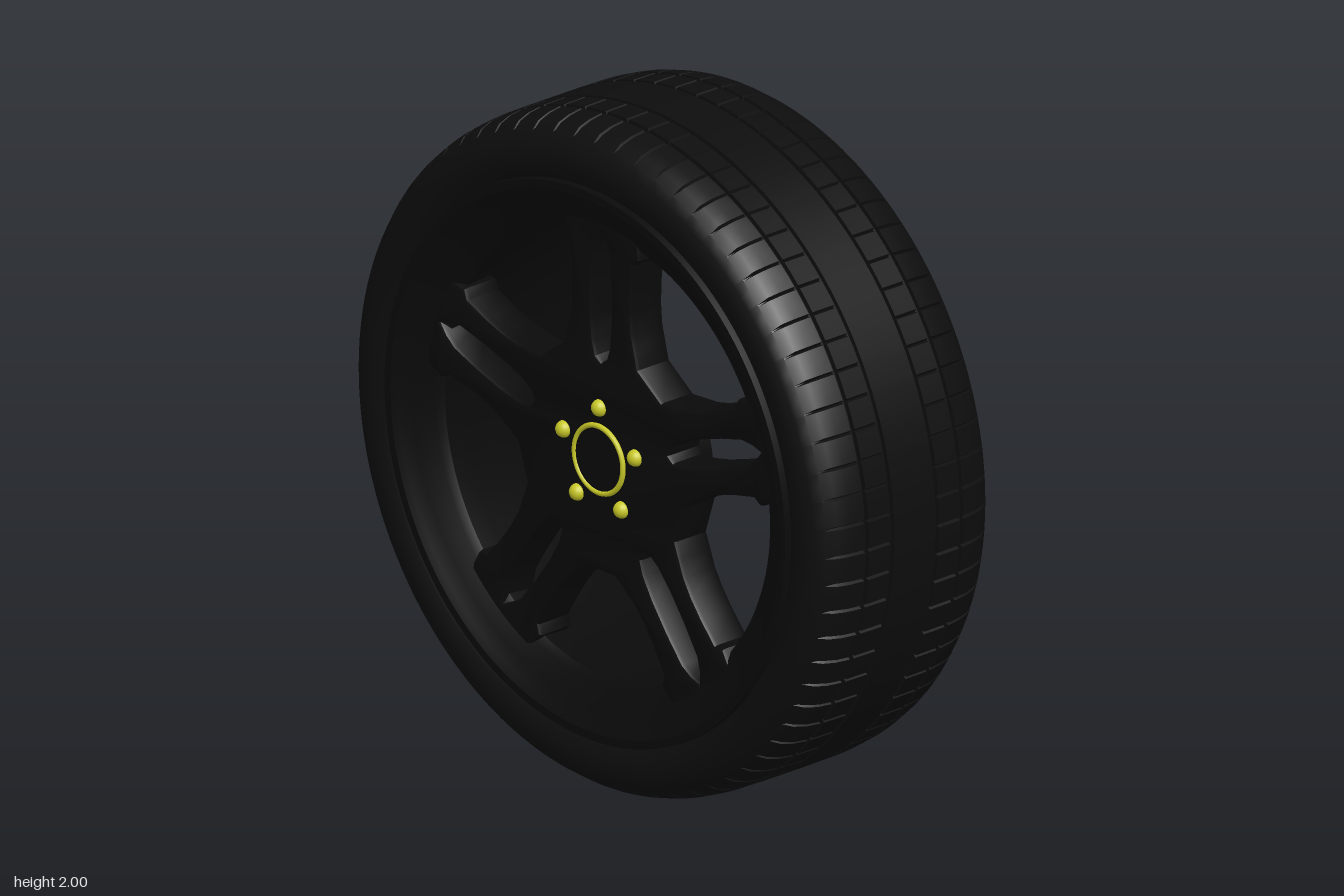
import * as THREE from 'three';
import { toCreasedNormals } from 'three/addons/utils/BufferGeometryUtils.js';

const rubber = new THREE.MeshStandardMaterial({ name: 'black rubber', color: 0x0d0d0d });
const paint = new THREE.MeshStandardMaterial({ name: 'black rim paint', color: 0x0a0a0a });
const yellow = new THREE.MeshStandardMaterial({ name: 'yellow metal', color: 0xc8c828 });

const FACE = -0.3; // x of the outer face of the spokes

function add(group, name, geometry, material) {
  const mesh = new THREE.Mesh(geometry, material);
  mesh.name = name;
  group.add(mesh);
  return mesh;
}

// Revolve a profile of [x, radius] points around the x axis
function lathe(profile, segments) {
  const pts = profile.map(([x, r]) => new THREE.Vector2(r, x));
  return new THREE.LatheGeometry(pts, segments);
}

// Tire: mirrored half profile of [offset, radius, cut by sipes]
function tireGeometry() {
  const half = [
    [0.31, 0.825, 0], [0.325, 0.845, 0], [0.335, 0.88, 0], [0.335, 0.905, 0],
    [0.325, 0.935, 0], [0.305, 0.96, 0], [0.275, 0.98, 1], [0.235, 0.992, 1],
    [0.187, 0.998, 1], [0.186, 0.985, 0], [0.174, 0.985, 0], [0.173, 0.999, 1],
    [0.092, 1, 1], [0.091, 0.987, 0], [0.079, 0.987, 0], [0.078, 1, 0],
  ];
  const profile = [
    ...half.map(([o, r, s]) => [-0.025 - o, r, s]),
    ...half.slice().reverse().map(([o, r, s]) => [-0.025 + o, r, s]),
  ];
  const sipes = 72, n = profile.length, steps = [0, 0.06, 0.12, 0.56];
  const geo = lathe(profile, sipes * 4);
  const pos = geo.attributes.position;
  // Narrow cross cuts: the second column of every four is pushed inwards
  for (let i = 0; i <= sipes * 4; i++) {
    const phi = ((Math.floor(i / 4) + steps[i % 4]) / sipes) * Math.PI * 2;
    profile.forEach(([x, r, cut], j) => {
      const rr = cut && i % 4 === 1 ? r - 0.01 : r;
      pos.setXYZ(i * n + j, rr * Math.sin(phi), x, rr * Math.cos(phi));
    });
  }
  geo.rotateZ(-Math.PI / 2);
  return toCreasedNormals(geo, 0.55);
}

// Rim: closed section with an outer lip, tapered barrel and inner flange
function rimGeometry() {
  const geo = lathe([
    [-0.357, 0.8], [-0.357, 0.825], [-0.3, 0.83], [0.31, 0.83], [0.31, 0.845],
    [0.318, 0.855], [0.348, 0.855], [0.355, 0.845], [0.355, 0.8], [0.34, 0.785],
    [0.25, 0.77], [0.1, 0.735], [-0.2, 0.675], [-0.27, 0.67], [-0.29, 0.69],
    [-0.32, 0.75], [-0.345, 0.782], [-0.357, 0.8],
  ], 128);
  geo.rotateZ(-Math.PI / 2);
  return toCreasedNormals(geo, 0.5);
}

// Five double spokes in one star-shaped plate with a slot in each arm
function spokeGeometry() {
  const side = [[0.151, 0.31], [0.138, 0.36], [0.125, 0.41], [0.12, 0.47], [0.122, 0.54],
    [0.13, 0.62], [0.155, 0.64], [0.145, 0.73]];
  const slot = [[0, 0.29], [0.022, 0.305], [0.035, 0.345], [0.042, 0.42], [0.042, 0.52],
    [0.036, 0.62], [0.02, 0.66], [0, 0.69]];
  const outline = [], holes = [];
  const mirror = (pts) => pts.map(([t, r]) => [-t, r]).reverse();
  for (let k = 0; k < 5; k++) {
    const a = (k * Math.PI * 2) / 5;
    const turn = ([t, r]) => new THREE.Vector2(
      t * Math.cos(a) - r * Math.sin(a), t * Math.sin(a) + r * Math.cos(a));
    outline.push(...[...side, ...mirror(side)].map(turn));
    holes.push(new THREE.Path([...slot, ...mirror(slot).slice(1, -1)].map(turn)));
  }
  const shape = new THREE.Shape(outline);
  shape.holes = holes;
  const geo = new THREE.ExtrudeGeometry(shape, {
    depth: 0.1, bevelEnabled: true, bevelThickness: 0.015, bevelSize: 0.012,
    bevelOffset: -0.012, bevelSegments: 2,
  });
  geo.rotateY(-Math.PI / 2); // extrusion now runs towards -x
  geo.translate(FACE + 0.115, 0, 0);
  return toCreasedNormals(geo, 0.6);
}

// Cylinder along x between two positions
function drum(x0, x1, r) {
  const geo = new THREE.CylinderGeometry(r, r, x1 - x0, 64);
  geo.rotateZ(-Math.PI / 2);
  geo.translate((x0 + x1) / 2, 0, 0);
  return geo;
}

export function createModel() {
  const wheel = new THREE.Group();
  wheel.name = 'wheel';
  wheel.position.y = 1;

  add(wheel, 'tire', tireGeometry(), rubber);
  add(wheel, 'rim', rimGeometry(), paint);
  add(wheel, 'spokes', spokeGeometry(), paint);
  add(wheel, 'hub', drum(FACE + 0.02, -0.1, 0.25), paint);
  add(wheel, 'hubCap', drum(FACE - 0.006, FACE + 0.03, 0.095), paint);

  const ring = add(wheel, 'capRing', new THREE.TorusGeometry(0.1, 0.008, 10, 64), yellow);
  ring.rotation.y = Math.PI / 2;
  ring.position.x = FACE - 0.004;

  // Wheel nuts, one in line with each pair of spokes
  const nutGeo = new THREE.SphereGeometry(0.025, 16, 12);
  for (let k = 0; k < 5; k++) {
    const a = (k * Math.PI * 2) / 5;
    const nut = add(wheel, 'wheelNut', nutGeo, yellow);
    nut.position.set(FACE, 0.155 * Math.cos(a), 0.155 * Math.sin(a));
  }

  const model = new THREE.Group();
  model.name = 'carWheel';
  model.add(wheel);
  return model;
}
